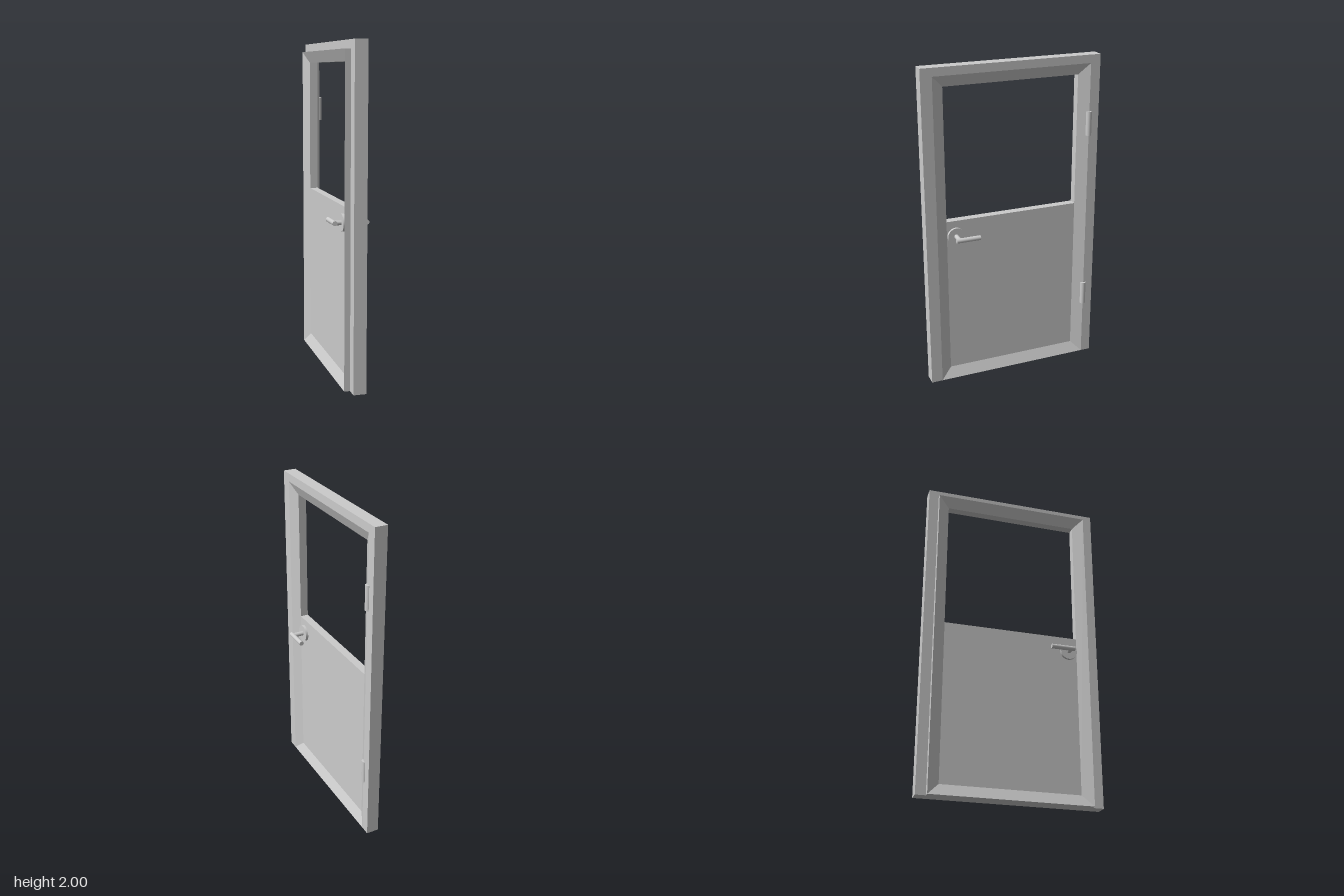
import * as THREE from 'three';

const material = new THREE.MeshStandardMaterial({ color: 0xcccccc });

function add(parent, name, geometry, x = 0, y = 0, z = 0) {
  const mesh = new THREE.Mesh(geometry, material);
  mesh.name = name;
  mesh.position.set(x, y, z);
  parent.add(mesh);
  return mesh;
}

// Door leaf extents
const Z0 = -0.494, Z1 = 0.486, TOP = 1.95, INSET = 0.068;
const PANEL_FRONT = 0.011, PANEL_BACK = -0.039;

// Sweeps a closed (x, inset) profile around a rectangle with mitred corners
function mitredRing(profile) {
  const corner = (k, [x, i]) => [
    [x, i, Z0 + i], [x, i, Z1 - i], [x, TOP - i, Z1 - i], [x, TOP - i, Z0 + i],
  ][k % 4];
  const positions = [];
  for (let k = 0; k < 4; k++) {
    profile.forEach((p, j) => {
      const q = profile[(j + 1) % profile.length];
      const a = corner(k, p), b = corner(k, q), c = corner(k + 1, q), d = corner(k + 1, p);
      positions.push(...a, ...b, ...c, ...a, ...c, ...d);
    });
  }
  const geometry = new THREE.BufferGeometry();
  geometry.setAttribute('position', new THREE.Float32BufferAttribute(positions, 3));
  geometry.computeVertexNormals();
  return geometry;
}

// Two jambs and a head, open at the floor
function frameGeometry() {
  const shape = new THREE.Shape([
    [-0.555, 0], [-Z1, 0], [-Z1, TOP], [-Z0, TOP], [-Z0, 0], [0.555, 0], [0.555, 2], [-0.555, 2],
  ].map(([x, y]) => new THREE.Vector2(x, y)));
  return new THREE.ExtrudeGeometry(shape, { depth: 0.077, bevelEnabled: false })
    .rotateY(Math.PI / 2).translate(-0.035, 0, 0);
}

// Rosette, stem and lever on one side of the panel
function addHandle(parent, name, surface, leverX) {
  const handle = new THREE.Group();
  handle.name = name;
  handle.position.set(0, 0.97, 0.363);
  parent.add(handle);
  const side = Math.sign(leverX);
  const length = Math.abs(leverX - surface);
  add(handle, 'rosette', new THREE.CylinderGeometry(0.052, 0.052, 0.016, 32).rotateZ(Math.PI / 2),
    surface + side * 0.008);
  add(handle, 'stem', new THREE.CylinderGeometry(0.014, 0.014, length, 24).rotateZ(Math.PI / 2),
    (surface + leverX) / 2);
  add(handle, 'lever', new THREE.CylinderGeometry(0.0145, 0.0145, 0.15, 24).rotateX(Math.PI / 2),
    leverX, 0, -0.053);
}

export function createModel() {
  const model = new THREE.Group();
  model.name = 'door';
  add(model, 'doorFrame', frameGeometry());

  // Leaf: bevelled border around a window and a lower panel
  add(model, 'leafBorder', mitredRing([
    [0.042, 0], [PANEL_FRONT, INSET], [PANEL_BACK, INSET], [-0.07, 0],
  ]));
  const sill = 1.065;
  add(model, 'lowerPanel',
    new THREE.BoxGeometry(PANEL_FRONT - PANEL_BACK, sill - INSET, Z1 - Z0 - 2 * INSET),
    (PANEL_FRONT + PANEL_BACK) / 2, (sill + INSET) / 2, (Z0 + Z1) / 2);

  // Hinge barrels
  for (const y of [0.437, 1.583])
    add(model, 'hinge', new THREE.CylinderGeometry(0.018, 0.018, 0.15, 24), 0.037, y, -0.494);

  addHandle(model, 'frontHandle', PANEL_FRONT, 0.0945);
  addHandle(model, 'backHandle', PANEL_BACK, -0.0965);
  return model;
}
